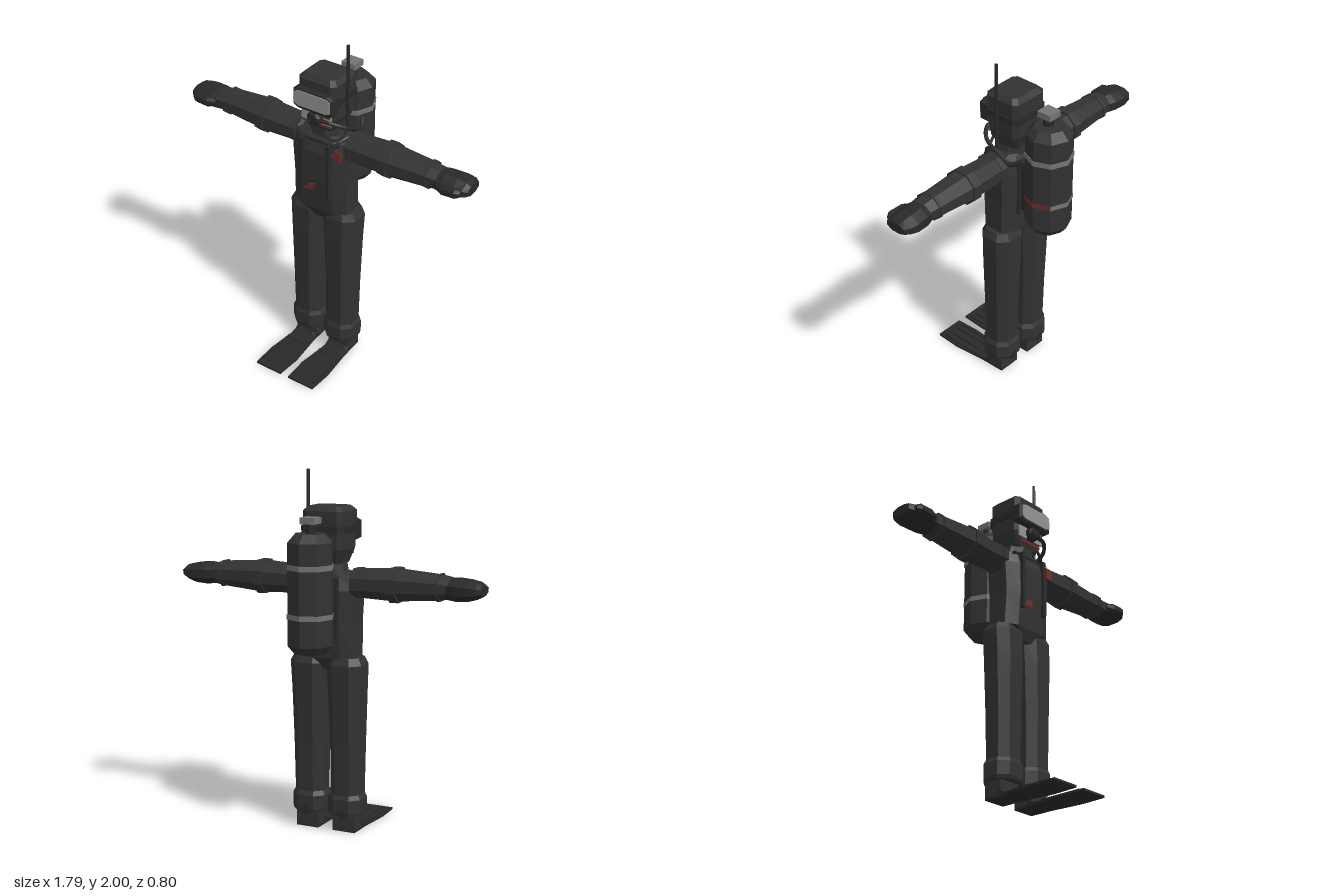
import * as THREE from 'three';

const mat = (name, color) => {
  const m = new THREE.MeshStandardMaterial({ color, flatShading: true });
  m.name = name;
  return m;
};

// Loft of chamfered cross-sections [t, aMin, aMax, bMin, bMax] along an axis.
// axis y: a = x, b = z; axis x: a = z, b = y; axis z: a = y, b = x.
function loft(axis, sections, corner = 0.41) {
  const shape = [[1, -corner], [1, corner], [corner, 1], [-corner, 1],
    [-1, corner], [-1, -corner], [-corner, -1], [corner, -1]];
  const place = { y: (t, a, b) => [a, t, b], x: (t, a, b) => [t, b, a], z: (t, a, b) => [b, a, t] }[axis];
  const pos = [], idx = [];
  for (const [t, a0, a1, b0, b1] of sections)
    for (const [u, v] of shape)
      pos.push(...place(t, (a0 + a1 + u * (a1 - a0)) / 2, (b0 + b1 + v * (b1 - b0)) / 2));
  const last = (sections.length - 1) * 8;
  for (let i = 0; i < last; i += 8)
    for (let k = 0; k < 8; k++) {
      const a = i + k, b = i + (k + 1) % 8;
      idx.push(a, a + 8, b + 8, a, b + 8, b);
    }
  for (let k = 1; k < 7; k++) idx.push(0, k, k + 1, last, last + k + 1, last + k);
  const g = new THREE.BufferGeometry();
  g.setAttribute('position', new THREE.Float32BufferAttribute(pos, 3));
  g.setIndex(idx);
  return g;
}

const box = (x0, x1, y0, y1, z0, z1) =>
  new THREE.BoxGeometry(x1 - x0, y1 - y0, z1 - z0).translate((x0 + x1) / 2, (y0 + y1) / 2, (z0 + z1) / 2);

const tube = (points, r) => new THREE.TubeGeometry(
  new THREE.CatmullRomCurve3(points.map(p => new THREE.Vector3(...p))), 14, r, 6);

// Mirror across x = 0, keeping the faces outward.
function mirrorX(geo) {
  const g = geo.clone().scale(-1, 1, 1), p = g.attributes.position;
  const a = new THREE.Vector3(), b = new THREE.Vector3();
  for (let i = 0; i < p.count; i += 3) {
    a.fromBufferAttribute(p, i + 1);
    b.fromBufferAttribute(p, i + 2);
    p.setXYZ(i + 1, b.x, b.y, b.z);
    p.setXYZ(i + 2, a.x, a.y, a.z);
  }
  return g;
}

export function createModel() {
  const root = new THREE.Group();
  root.name = 'diver';
  const suit = mat('suit black', 0x323232);
  const rubber = mat('rubber black', 0x292929);
  const metal = mat('metal grey', 0x737373);
  const glass = mat('mask glass', 0x929292);
  const red = mat('dull red', 0x702c2c);

  const add = (name, geo, m) => {
    const g = geo.index ? geo.toNonIndexed() : geo;
    g.computeVertexNormals();
    const mesh = new THREE.Mesh(g, m);
    mesh.name = name;
    root.add(mesh);
    return g;
  };
  const pair = (name, geo, m) => {
    const g = add(name + 'Left', geo, m);
    add(name + 'Right', mirrorX(g), m);
  };

  // Torso and neck
  add('torso', loft('y', [
    [0.92, -0.05, 0.05, -0.09, 0.04], [0.985, -0.17, 0.17, -0.12, 0.07],
    [1.18, -0.165, 0.165, -0.13, 0.085], [1.36, -0.177, 0.177, -0.135, 0.085],
    [1.435, -0.165, 0.165, -0.12, 0.06], [1.46, -0.1, 0.1, -0.1, 0.04]], 0.6), suit);
  add('neck', loft('y', [
    [1.42, -0.105, 0.105, -0.11, 0.05], [1.5, -0.09, 0.09, -0.11, 0.05], [1.58, -0.1, 0.1, -0.12, 0.06]]), suit);

  // Hooded head
  add('head', loft('y', [
    [1.5, -0.085, 0.085, -0.11, 0.05], [1.58, -0.115, 0.115, -0.135, 0.07],
    [1.74, -0.12, 0.12, -0.14, 0.08], [1.785, -0.12, 0.12, -0.14, 0.08],
    [1.81, -0.095, 0.095, -0.115, 0.055]], 0.78), suit);

  // Mask with strap and glass
  add('maskStrap', loft('y', [[1.665, -0.127, 0.127, -0.148, 0.08], [1.705, -0.127, 0.127, -0.148, 0.08]], 0.78), rubber);
  add('maskFrame', loft('z', [
    [0.05, 1.615, 1.74, -0.127, 0.127], [0.1, 1.615, 1.74, -0.127, 0.127], [0.11, 1.63, 1.735, -0.117, 0.117]], 0.75), rubber);
  add('maskGlass', loft('z', [[0.108, 1.638, 1.728, -0.113, 0.113], [0.115, 1.638, 1.728, -0.113, 0.113]], 0.75), glass);

  // Lower face and breathing regulator
  pair('cheek', box(0.035, 0.095, 1.545, 1.612, 0.066, 0.074), glass);
  add('regulator', loft('z', [
    [0.05, 1.545, 1.615, -0.04, 0.045], [0.1, 1.545, 1.615, -0.04, 0.045], [0.112, 1.56, 1.605, -0.03, 0.035]]), rubber);
  add('regulatorMark', box(0.045, 0.09, 1.59, 1.612, 0.072, 0.08), red);
  add('chinBand', box(-0.07, 0.085, 1.523, 1.538, 0.055, 0.064), red);

  // Chest harness and coloured patches
  pair('chestStrap', box(0.075, 0.095, 1.09, 1.43, 0.07, 0.099), rubber);
  pair('backStrap', box(0.075, 0.095, 1.1, 1.43, -0.142, -0.11), rubber);
  add('chestSeam', box(-0.13, 0.13, 1.42, 1.432, 0.05, 0.07), rubber);
  add('chestPatch', box(0.12, 0.165, 1.345, 1.41, 0.077, 0.086), red);
  const patch = new THREE.Shape([[-0.08, 1.105], [-0.015, 1.115], [0, 1.16], [-0.04, 1.15]].map(p => new THREE.Vector2(...p)));
  add('bellyPatch', new THREE.ExtrudeGeometry(patch, { depth: 0.009, bevelEnabled: false }).translate(0, 0, 0.08), red);

  // Arms held straight out
  pair('arm', loft('x', [
    [0.14, -0.085, 0.01, 1.345, 1.46], [0.18, -0.12, 0.048, 1.325, 1.475],
    [0.4, -0.128, 0.055, 1.318, 1.487], [0.65, -0.113, 0.04, 1.338, 1.47],
    [0.76, -0.1, 0.03, 1.355, 1.45]]), suit);
  for (const [x, w, z0, z1, y0, y1] of [
    [0.18, 0.02, -0.125, 0.052, 1.32, 1.48], [0.4, 0.025, -0.137, 0.063, 1.31, 1.495], [0.65, 0.008, -0.12, 0.046, 1.332, 1.476]])
    pair('armBand', loft('x', [[x - w, z0, z1, y0, y1], [x + w, z0, z1, y0, y1]]), suit);
  pair('glove', loft('x', [
    [0.7, -0.105, 0.035, 1.345, 1.455], [0.75, -0.122, 0.045, 1.34, 1.46], [0.82, -0.128, 0.042, 1.345, 1.455],
    [0.87, -0.12, 0.035, 1.36, 1.445], [0.895, -0.1, 0.02, 1.375, 1.43]]), rubber);
  pair('thumb', loft('x', [
    [0.715, 0.01, 0.045, 1.385, 1.42], [0.76, 0.02, 0.068, 1.37, 1.43], [0.84, 0.02, 0.068, 1.375, 1.43], [0.865, 0.01, 0.05, 1.385, 1.42]]), rubber);

  // Legs, cuffs and feet
  pair('leg', loft('y', [
    [0.1, 0.035, 0.19, -0.1, 0.05], [0.22, 0.024, 0.195, -0.112, 0.055], [0.5, 0.022, 0.2, -0.118, 0.06],
    [0.8, 0.012, 0.208, -0.13, 0.066], [0.95, 0.006, 0.215, -0.135, 0.062], [0.99, 0.02, 0.195, -0.115, 0.045]], 0.5), suit);
  pair('cuff', loft('y', [
    [0.095, 0.016, 0.202, -0.12, 0.058], [0.115, 0.011, 0.207, -0.125, 0.065],
    [0.19, 0.011, 0.207, -0.125, 0.065], [0.215, 0.024, 0.195, -0.112, 0.055]], 0.5), suit);
  pair('foot', box(0.045, 0.18, 0.004, 0.12, -0.09, 0.02), suit);
  pair('ankleBuckle', box(0.095, 0.13, 0.08, 0.13, -0.126, -0.09), rubber);

  // Swim fins with raised ribs
  const fin = new THREE.Shape([[0.045, 0.09], [0.18, 0.09], [0.183, -0.05], [0.203, -0.25], [0.197, -0.4],
    [0.028, -0.4], [0.02, -0.25], [0.042, -0.05]].map(p => new THREE.Vector2(...p)));
  pair('fin', new THREE.ExtrudeGeometry(fin, { depth: 0.012, bevelEnabled: false }).rotateX(-Math.PI / 2), rubber);
  for (const x of [0.045, 0.085, 0.14, 0.18])
    pair('finRib', box(x - 0.005, x + 0.005, 0.01, 0.02, 0.1, 0.36), rubber);
  pair('toePocket', loft('z', [
    [0.0, 0.003, 0.06, 0.045, 0.18], [0.04, 0.003, 0.022, 0.042, 0.183], [0.12, 0.003, 0.018, 0.05, 0.18]], 0.7), rubber);

  // Air tank with valve and two bands
  const tz = -0.27;
  const tank = [[0, 1.04], [0.09, 1.04], [0.127, 1.085], [0.127, 1.635], [0.085, 1.68], [0, 1.68]];
  add('airTank', new THREE.LatheGeometry(tank.map(p => new THREE.Vector2(...p)), 8).translate(0, 0, tz), suit);
  const band = (name, y, from, faces, m) => add(name, new THREE.CylinderGeometry(
    0.131, 0.131, 0.028, faces, 1, faces < 8, from * Math.PI / 4, faces * Math.PI / 4).translate(0, y, tz), m);
  band('upperTankBand', 1.505, 0, 8, metal);
  band('lowerTankBandRed', 1.243, 0, 3, red);
  band('lowerTankBandGrey', 1.243, 3, 5, metal);
  add('valveStem', new THREE.CylinderGeometry(0.028, 0.028, 0.07, 8).translate(0, 1.7, -0.26), rubber);
  add('valveKnob', box(-0.042, 0.042, 1.73, 1.765, -0.305, -0.22), metal);
  add('tankMount', box(-0.07, 0.07, 1.12, 1.42, -0.18, -0.11), rubber);

  // Snorkel and hoses
  add('snorkel', new THREE.CylinderGeometry(0.009, 0.009, 0.5, 6).translate(0.135, 1.75, -0.022), rubber);
  add('snorkelMouthpiece', tube([[0.135, 1.51, -0.022], [0.13, 1.47, 0.01], [0.1, 1.46, 0.06], [0.05, 1.5, 0.075]], 0.009), rubber);
  add('regulatorHose', tube([[0.03, 1.575, 0.09], [0.1, 1.57, 0.08], [0.155, 1.54, 0.03], [0.16, 1.49, -0.06],
    [0.15, 1.45, -0.13], [0.12, 1.48, -0.19]], 0.012), rubber);
  add('spareHose', tube([[0.12, 1.47, -0.19], [0.15, 1.44, -0.12], [0.165, 1.47, -0.04], [0.14, 1.46, 0.04], [0.1, 1.4, 0.09]], 0.01), rubber);
  return root;
}
